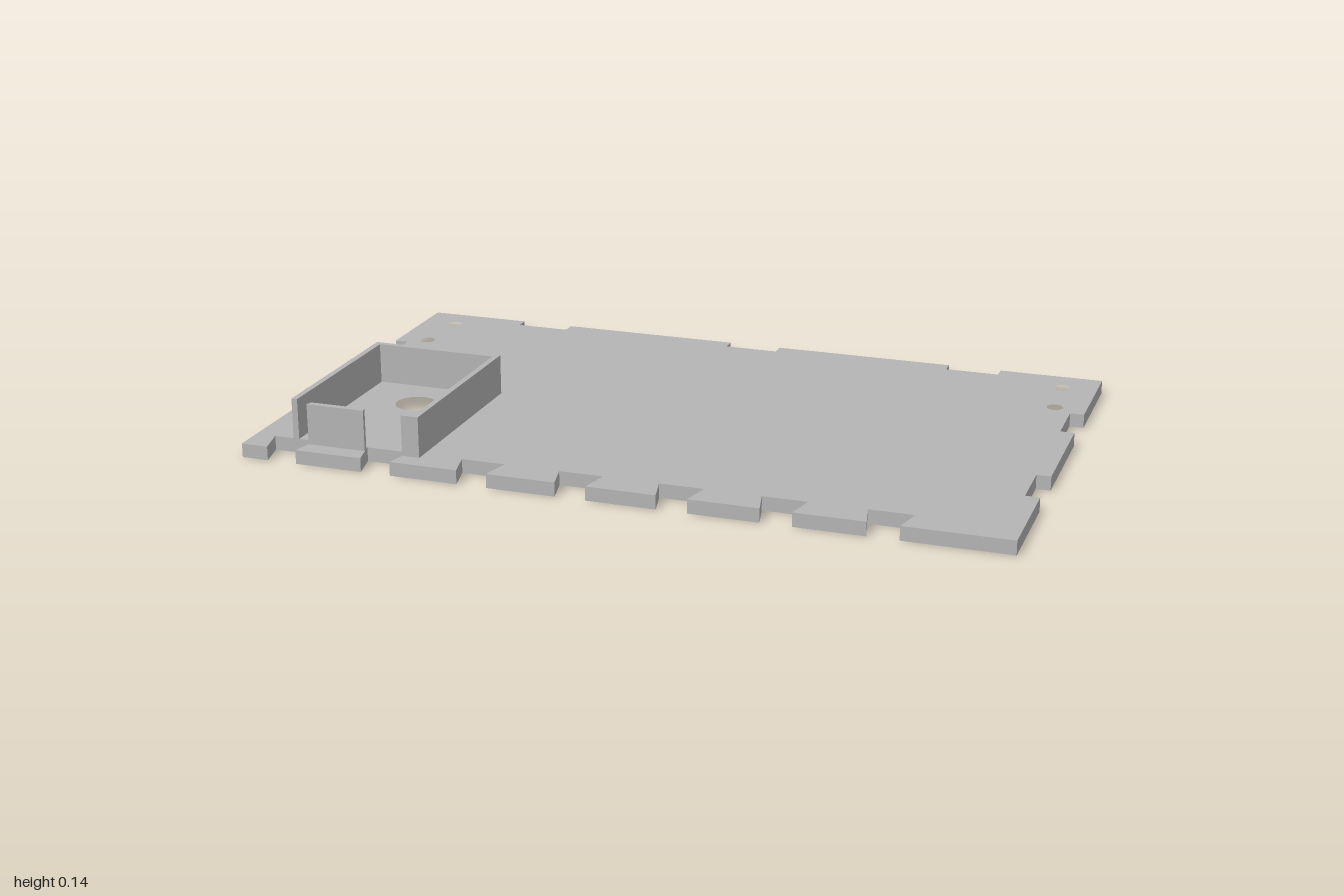
import * as THREE from 'three';

const THICK = 0.037, WALL_TOP = 0.145, DEPTH = 0.037;

// Flat outline given as [x, z] pairs
const outline = (pts) => new THREE.Shape(pts.map(([x, z]) => new THREE.Vector2(x, -z)));

// Extrude an outline upwards between two heights
function slab(name, shape, y0, y1, material) {
  const geo = new THREE.ExtrudeGeometry(shape, { depth: y1 - y0, bevelEnabled: false, curveSegments: 20 });
  geo.rotateX(-Math.PI / 2);
  geo.translate(0, y0, 0);
  const mesh = new THREE.Mesh(geo, material);
  mesh.name = name;
  return mesh;
}

export function createModel() {
  const grey = new THREE.MeshStandardMaterial({ color: 0xb4b4b4 });
  grey.name = 'plain grey';
  const model = new THREE.Group();
  model.name = 'notchedPanel';

  // Panel edge, traced from the back left corner
  const pts = [[-1, -0.6]];
  for (const c of [-0.644, 0, 0.644]) { // back edge notches
    pts.push([c - 0.0735, -0.6], [c - 0.0735, -0.6 + DEPTH], [c + 0.0735, -0.6 + DEPTH], [c + 0.0735, -0.6]);
  }
  pts.push([1, -0.6]);
  const sideNotches = [[-0.307, -0.16], [0.17, 0.317]];
  for (const [a, b] of sideNotches) {
    pts.push([1, a], [1 - DEPTH, a], [1 - DEPTH, b], [1, b]);
  }
  pts.push([1, 0.6]);
  for (let i = 6; i >= 0; i--) { // front edge dovetails
    const c = -0.888 + i * 0.262;
    pts.push([c + 0.04, 0.6], [c + 0.058, 0.523], [c - 0.058, 0.523], [c - 0.04, 0.6]);
  }
  pts.push([-1, 0.6]);
  for (const [a, b] of [...sideNotches].reverse()) {
    pts.push([-1, b], [-1 + DEPTH, b], [-1 + DEPTH, a], [-1, a]);
  }
  const panel = outline(pts);

  // Cable hole and two pairs of screw holes
  const holes = [[-0.71, 0.177, 0.055]];
  for (const s of [-1, 1]) holes.push([s * 0.905, -0.508, 0.022], [s * 0.916, -0.342, 0.022]);
  for (const [x, z, r] of holes) {
    panel.holes.push(new THREE.Path().absarc(x, -z, r, 0, Math.PI * 2, true));
  }
  model.add(slab('panel', panel, 0, THICK, grey));

  // Thin-walled tray, interrupted by the first two dovetails
  const tray = new THREE.Group();
  tray.name = 'tray';
  tray.add(slab('trayWalls', outline([
    [-0.893, 0.523], [-0.893, 0.025], [-0.527, 0.025], [-0.527, 0.55], [-0.574, 0.55],
    [-0.57, 0.533], [-0.543, 0.533], [-0.543, 0.041], [-0.877, 0.041], [-0.877, 0.523],
  ]), THICK, WALL_TOP, grey));
  tray.add(slab('trayFrontWall', outline([
    [-0.832, 0.533], [-0.836, 0.55], [-0.678, 0.55], [-0.682, 0.533],
  ]), THICK, WALL_TOP, grey));
  model.add(tray);
  return model;
}
